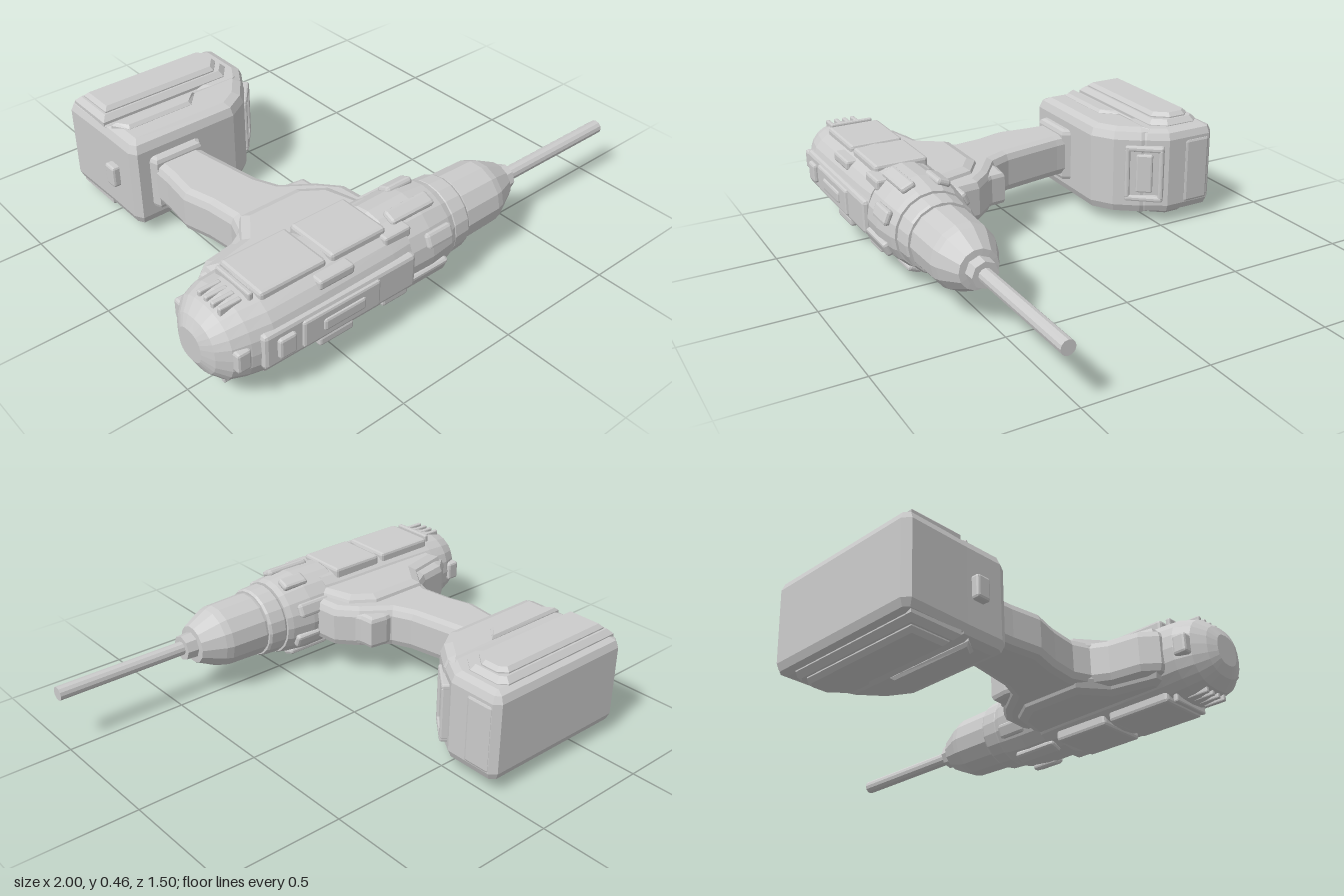
import * as THREE from 'three';
import { RoundedBoxGeometry } from 'three/addons/geometries/RoundedBoxGeometry.js';

const CY = 0.235, CZ = 0.545; // height and depth of the drive axis
const mat = new THREE.MeshStandardMaterial({ color: 0xcccccc, flatShading: true });

export function createModel() {
  const root = new THREE.Group();

  const add = (name, geo, x = 0, y = 0, z = 0, parent = root) => {
    const m = new THREE.Mesh(geo, mat);
    m.name = name;
    m.position.set(x, y, z);
    parent.add(m);
    return m;
  };
  // box given by its extents
  const block = (name, x0, x1, y0, y1, z0, z1, r = 0.01) =>
    add(name, new RoundedBoxGeometry(x1 - x0, y1 - y0, z1 - z0, 1, r),
      (x0 + x1) / 2, (y0 + y1) / 2, (z0 + z1) / 2);
  // bevelled slab from an x/z outline, between two heights
  const slab = (name, outline, y0, y1, bevel, segs = 2) => {
    const shape = new THREE.Shape(outline.map(([x, z]) => new THREE.Vector2(x, -z)));
    const geo = new THREE.ExtrudeGeometry(shape, {
      depth: y1 - y0 - 2 * bevel, bevelEnabled: true, bevelThickness: bevel,
      bevelSize: bevel, bevelOffset: -bevel, bevelSegments: segs,
    });
    geo.rotateX(-Math.PI / 2);
    return add(name, geo, 0, y0 + bevel, 0);
  };
  // the same part on the upper and the lower side
  const bothSides = (make) => {
    make((a, b) => [a, b]);
    make((a, b) => [2 * CY - b, 2 * CY - a]);
  };
  const lathe = (name, profile, sides) => {
    const geo = new THREE.LatheGeometry(profile.map(([x, r]) => new THREE.Vector2(r, x)), sides);
    geo.rotateZ(-Math.PI / 2);
    return add(name, geo, 0, CY, CZ);
  };

  // motor housing: lofted sections [x, half height, zMin, zMax]
  add('motorHousing', loft([
    [-1.0, 0.06, 0.48, 0.6], [-0.98, 0.1, 0.44, 0.65], [-0.94, 0.137, 0.395, 0.69],
    [-0.88, 0.153, 0.37, 0.71], [-0.8, 0.16, 0.365, 0.727], [-0.6, 0.163, 0.37, 0.727],
    [-0.28, 0.163, 0.375, 0.72], [-0.2, 0.165, 0.38, 0.715],
  ], 24));

  // gear case, torque collar, chuck and bit
  lathe('gearCase', [[-0.28, 0], [-0.28, 0.16], [-0.26, 0.172], [-0.1, 0.175], [0, 0.163], [0.025, 0.155], [0.025, 0]], 20);
  lathe('torqueCollar', [[0.02, 0], [0.02, 0.143], [0.035, 0.15], [0.1, 0.146], [0.11, 0.14], [0.11, 0]], 20);
  lathe('chuck', [[0.1, 0], [0.1, 0.13], [0.12, 0.134], [0.28, 0.13], [0.31, 0.122], [0.4, 0.078], [0.405, 0]], 14);
  lathe('chuckNose', [[0.39, 0], [0.39, 0.055], [0.45, 0.052], [0.45, 0]], 8);
  lathe('drillBit', [[0.44, 0], [0.44, 0.028], [1, 0.028], [1, 0]], 12);

  // lugs around the gear case
  for (let i = 0; i < 8; i++) {
    const pivot = new THREE.Group();
    pivot.name = 'gearCaseLug';
    pivot.position.set(0, CY, CZ);
    pivot.rotation.x = (i + 0.5) * Math.PI / 4;
    add('lug', new RoundedBoxGeometry(i % 2 ? 0.12 : 0.2, 0.03, 0.06, 1, 0.012), i % 2 ? -0.07 : -0.13, 0.172, 0, pivot);
    root.add(pivot);
  }

  // pistol grip, flaring into the housing
  slab('handle', [
    [-0.6, -0.32], [-0.4, -0.32], [-0.39, -0.22], [-0.37, -0.1], [-0.345, 0.04], [-0.31, 0.12],
    [-0.2, 0.2], [-0.13, 0.28], [-0.115, 0.45], [-0.84, 0.45], [-0.84, 0.355], [-0.78, 0.305],
    [-0.66, 0.285], [-0.6, 0.25], [-0.575, 0.18], [-0.59, 0.06], [-0.62, -0.05], [-0.605, -0.18],
  ], 0.145, 0.325, 0.035);
  slab('housingFlare', [
    [-0.56, 0.2], [-0.3, 0.2], [-0.2, 0.27], [-0.15, 0.46], [-0.82, 0.46], [-0.82, 0.35], [-0.64, 0.31],
  ], 0.12, 0.35, 0.045);
  slab('trigger', [[-0.34, 0.13], [-0.28, 0.12], [-0.205, 0.13], [-0.2, 0.19], [-0.17, 0.25], [-0.34, 0.25]],
    0.165, 0.305, 0.02);
  const selector = add('directionSwitch', new THREE.CylinderGeometry(0.055, 0.055, 0.22, 6), -0.32, CY, 0.32);
  selector.scale.z = 0.55;

  // battery shoe and pack
  slab('handleCollar', [[-0.63, -0.34], [-0.36, -0.34], [-0.4, -0.25], [-0.6, -0.25]], 0.12, 0.35, 0.02);
  slab('batteryShoe', [
    [-0.68, -0.5], [-0.04, -0.5], [-0.06, -0.43], [-0.13, -0.34], [-0.22, -0.285], [-0.66, -0.285], [-0.68, -0.32],
  ], 0.045, 0.425, 0.045);
  slab('batteryPack', [
    [-0.66, -0.755], [-0.025, -0.755], [0, -0.73], [0, -0.53], [-0.05, -0.45], [-0.1, -0.4],
    [-0.17, -0.4], [-0.25, -0.48], [-0.68, -0.48], [-0.685, -0.73],
  ], 0.05, 0.42, 0.04);
  const railOutline = (d) => [
    [-0.67 + d, -0.72 + d], [-0.09 - d, -0.72 + d], [-0.06 - d, -0.69 + d],
    [-0.06 - d, -0.56 - d], [-0.11 - d, -0.5 - d], [-0.67 + d, -0.5 - d],
  ];
  bothSides((y) => {
    slab('batteryRail', railOutline(0), ...y(0.34, 0.443), 0.02, 1);
    slab('batteryPanel', railOutline(0.028), ...y(0.38, 0.463), 0.015, 1);
    slab('shoePanel', [[-0.66, -0.46], [-0.28, -0.46], [-0.34, -0.395], [-0.62, -0.395]], ...y(0.36, 0.438), 0.012, 1);
  });
  block('batteryEndPanel', -0.1, 0.005, 0.09, 0.37, -0.73, -0.61, 0.012);
  block('hookTab', -0.71, -0.66, 0.19, 0.28, -0.46, -0.4);

  // release button: frame with a raised centre on the sloped face
  const release = new THREE.Group();
  release.name = 'releaseButton';
  release.position.set(-0.055, CY, -0.445);
  release.rotation.y = -0.7;
  for (const s of [-1, 1]) {
    add('frameBar', new RoundedBoxGeometry(0.04, 0.025, 0.16, 1, 0.008), 0, s * 0.11, 0, release);
    add('frameEnd', new RoundedBoxGeometry(0.04, 0.22, 0.022, 1, 0.008), 0, 0, s * 0.07, release);
  }
  add('buttonPad', new RoundedBoxGeometry(0.025, 0.17, 0.07, 1, 0.008), 0, 0, 0, release);
  root.add(release);

  // ridge and sliders along the spine of the housing
  block('spineRidge', -0.85, -0.2, 0.165, 0.305, 0.68, 0.732, 0.015);
  block('speedSwitchFrame', -0.7, -0.37, 0.18, 0.29, 0.69, 0.742);
  block('speedSwitch', -0.62, -0.44, 0.21, 0.26, 0.7, 0.75);
  block('spineStop', -0.8, -0.73, 0.195, 0.275, 0.69, 0.748);

  // side plates, clips and vents
  bothSides((y) => {
    block('sidePlate', -0.8, -0.53, ...y(0.34, 0.405), 0.43, 0.65, 0.012);
    block('sidePlate', -0.51, -0.27, ...y(0.34, 0.407), 0.43, 0.65, 0.012);
    block('sideClip', -0.6, -0.45, ...y(0.335, 0.375), 0.64, 0.7);
    block('sideClip', -0.3, -0.18, ...y(0.34, 0.385), 0.62, 0.68);
    for (let i = 0; i < 4; i++) {
      const z = 0.49 + i * 0.036;
      block('ventRib', -0.93, -0.845, ...y(0.35, 0.392), z, z + 0.018, 0.005);
    }
    block('ventBar', -0.83, -0.81, ...y(0.36, 0.408), 0.45, 0.63, 0.006);
  });
  for (const z of [0.385, 0.69]) block('rearLug', -0.94, -0.885, 0.195, 0.275, z - 0.025, z + 0.025);

  return root;
}

// closed skin over rounded-square sections placed along x
function loft(sections, n) {
  const pos = [], idx = [];
  const soft = (v) => Math.sign(v) * Math.abs(v) ** 0.82;
  for (const [x, hy, z0, z1] of sections) {
    for (let j = 0; j < n; j++) {
      const a = (j / n) * Math.PI * 2;
      pos.push(x, CY + hy * soft(Math.cos(a)), (z0 + z1) / 2 + (z1 - z0) / 2 * soft(Math.sin(a)));
    }
  }
  const last = sections.length - 1;
  for (let j = 0; j < n; j++) {
    const k = (j + 1) % n;
    for (let i = 0; i < last; i++) {
      const a = i * n + j, b = i * n + k;
      idx.push(a, b, a + n, b, b + n, a + n);
    }
    // end caps
    idx.push((last + 1) * n, k, j, (last + 1) * n + 1, last * n + j, last * n + k);
  }
  for (const i of [0, last]) pos.push(sections[i][0], CY, (sections[i][2] + sections[i][3]) / 2);
  const geo = new THREE.BufferGeometry();
  geo.setAttribute('position', new THREE.Float32BufferAttribute(pos, 3));
  geo.setIndex(idx);
  geo.computeVertexNormals();
  return geo;
}
